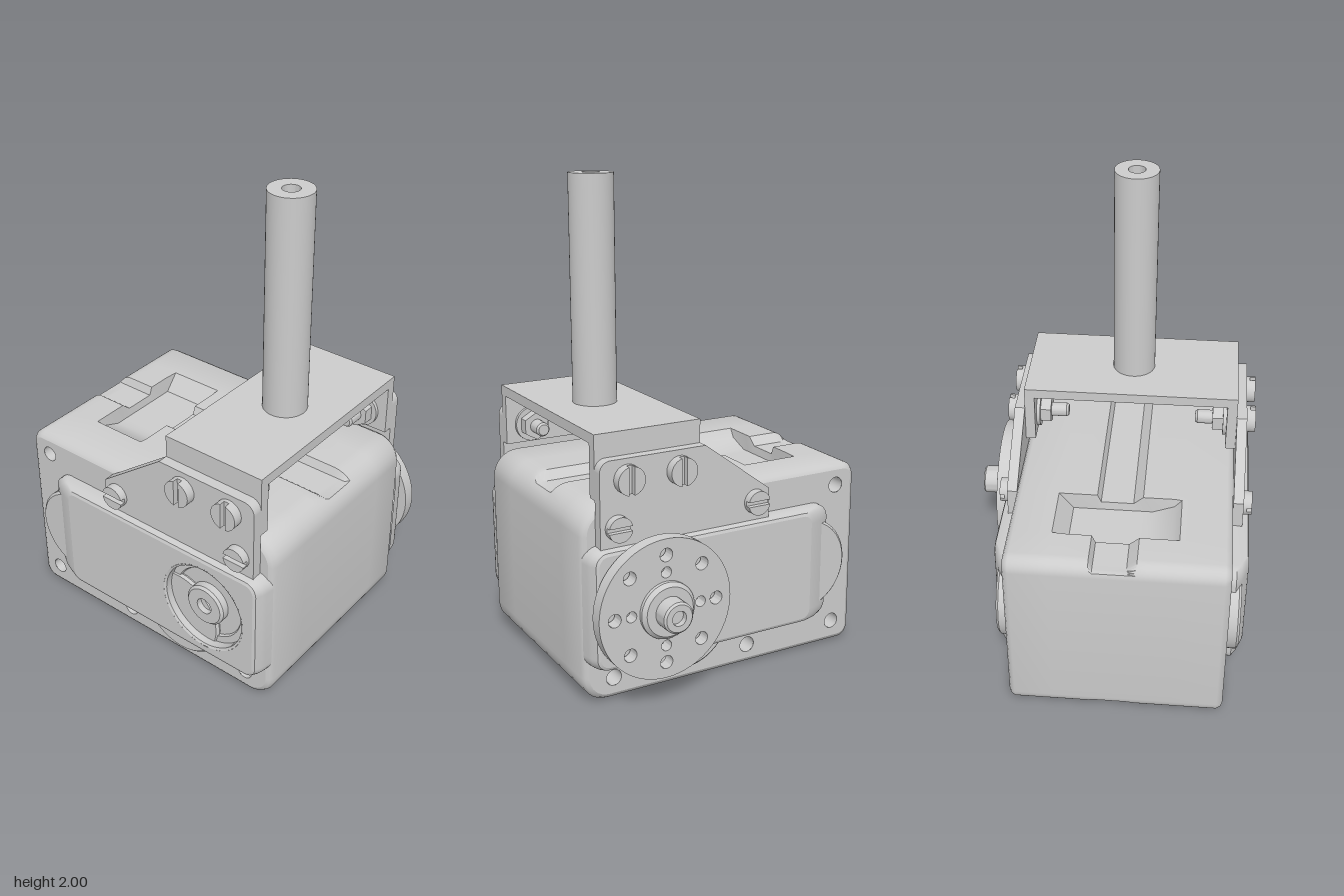
import * as THREE from 'three';
import { toCreasedNormals } from 'three/addons/utils/BufferGeometryUtils.js';

const mat = new THREE.MeshStandardMaterial({ color: 0xcccccc });
const twoSided = new THREE.MeshStandardMaterial({ color: 0xcccccc, side: THREE.DoubleSide });
const MID = 0.08; // the case is symmetric about this z
const FRONT = 0.53, BACK = 2 * MID - FRONT;

function add(parent, name, geo, x = 0, y = 0, z = 0, material = mat) {
  const m = new THREE.Mesh(geo, material);
  m.name = name;
  m.position.set(x, y, z);
  parent.add(m);
  return m;
}

// Counter-clockwise rounded rectangle; extra x stations on the long edges
function outline(x0, x1, y0, y1, rl, rr, stations = []) {
  const pts = [];
  const corner = (cx, cy, r, a0) => {
    for (let i = 0; i <= 8; i++) {
      const a = a0 + (i / 8) * Math.PI / 2;
      pts.push(new THREE.Vector2(cx + r * Math.cos(a), cy + r * Math.sin(a)));
    }
  };
  corner(x0 + rl, y0 + rl, rl, Math.PI);
  stations.forEach(x => pts.push(new THREE.Vector2(x, y0)));
  corner(x1 - rr, y0 + rr, rr, -Math.PI / 2);
  corner(x1 - rr, y1 - rr, rr, 0);
  [...stations].reverse().forEach(x => pts.push(new THREE.Vector2(x, y1)));
  corner(x0 + rl, y1 - rl, rl, Math.PI / 2);
  return pts;
}

// Skin between rings listed from high z to low z
function loft(rings) {
  const pos = [], idx = [], n = rings[0].pts.length;
  rings.forEach(r => r.pts.forEach(p => pos.push(p.x, p.y, r.z)));
  for (let i = 0; i < rings.length - 1; i++) for (let j = 0; j < n; j++) {
    const a = i * n + j, b = i * n + (j + 1) % n;
    idx.push(a, a + n, b, b, a + n, b + n);
  }
  const g = new THREE.BufferGeometry();
  g.setAttribute('position', new THREE.Float32BufferAttribute(pos, 3));
  g.setIndex(idx);
  return toCreasedNormals(g, 0.6);
}

function shapeWithHoles(pts, holes) {
  const s = new THREE.Shape(pts);
  holes.forEach(([x, y, r]) => s.holes.push(new THREE.Path().absarc(x, y, r, 0, Math.PI * 2, true)));
  return s;
}

const extrude = (shape, depth) =>
  new THREE.ExtrudeGeometry(shape, { depth, bevelEnabled: false, curveSegments: 24 });

// Solids of revolution about z, profile given as [radius, z]
const turned = (profile, seg = 40) => toCreasedNormals(
  new THREE.LatheGeometry(profile.map(p => new THREE.Vector2(...p)), seg).rotateX(Math.PI / 2), 0.5);
const rod = (r, z0, z1, seg = 32) =>
  new THREE.CylinderGeometry(r, r, z1 - z0, seg).rotateX(Math.PI / 2).translate(0, 0, (z0 + z1) / 2);

// Copy of a side's meshes reflected about the middle plane
function mirrored(group) {
  const out = new THREE.Group();
  group.updateMatrixWorld(true);
  group.traverse(o => {
    if (!o.isMesh) return;
    let g = o.geometry.clone().applyMatrix4(o.matrixWorld);
    if (g.index) g = g.toNonIndexed();
    g.scale(1, 1, -1).translate(0, 0, 2 * MID);
    for (const a of Object.values(g.attributes)) {
      const s = a.itemSize;
      for (let i = 0; i < a.count; i += 3) for (let k = 0; k < s; k++) {
        const p = (i + 1) * s + k, t = a.array[p];
        a.array[p] = a.array[p + s];
        a.array[p + s] = t;
      }
    }
    add(out, o.name, g, 0, 0, 0, o.material);
  });
  return out;
}

// Slotted screw head facing +z, base at z = 0
function screwHead(parent, x, y, z, r, h, angle) {
  const g = new THREE.Group();
  g.name = 'screwHead';
  add(g, 'headBase', rod(r, 0, h * 0.4));
  for (const start of [0, Math.PI]) {
    const half = new THREE.Shape().absarc(0, 0, r, start + 0.2, start + Math.PI - 0.2, false);
    add(g, 'headHalf', extrude(half, h * 0.6), 0, 0, h * 0.4);
  }
  g.position.set(x, y, z);
  g.rotation.z = angle;
  parent.add(g);
  return g;
}

const holes = [[-0.54, 0.71, 0.033], [-0.54, 0.095, 0.033], [-0.11, 0.085, 0.033], [0.505, 0.09, 0.033]];
const caseOutline = i => outline(-0.64 + i, 0.635 - i, i, 0.8 - i, 0.06 - i, 0.11 - i, [-0.455, -0.45, -0.21, -0.205]);

// Linear interpolation in a table of [z, depth], z descending
function table(t, z) {
  for (let i = 0; i < t.length - 1; i++) {
    const [a, u] = t[i], [b, v] = t[i + 1];
    if (z <= a && z >= b) return u + (v - u) * (a - z) / (a - b);
  }
  return 0;
}

// Case with a groove along x and a ramped pocket, top and bottom
function caseShell() {
  const groove = [[0.16, 0], [0.12, 0.035], [-0.015, 0.035], [-0.03, 0]];
  const pocket = [[0.32, 0], [0.29, 0.035], [0.2, 0.07], [-0.13, 0.07], [-0.19, 0]];
  const stations = [[FRONT, 0.025], [0.522, 0.01], [0.505, 0], [0.32, 0], [0.29, 0], [0.2, 0], [0.16, 0], [0.12, 0],
    [-0.015, 0], [-0.03, 0], [-0.13, 0], [-0.19, 0], [-0.345, 0], [-0.362, 0.01], [BACK, 0.025]];
  return loft(stations.map(([z, inset]) => ({
    z,
    pts: caseOutline(inset).map(p => {
      const inPocket = p.x > -0.451 && p.x < -0.209;
      const d = Math.max(table(groove, z), inPocket ? table(pocket, z) : 0);
      return new THREE.Vector2(p.x, THREE.MathUtils.clamp(p.y, d, 0.8 - d));
    }),
  })));
}

// End face, gear cover, bracket plate and fasteners of one side
function side(hasRecess) {
  const g = new THREE.Group();
  add(g, 'caseEndFace', new THREE.ShapeGeometry(shapeWithHoles(caseOutline(0.025), holes), 24), 0, 0, FRONT);
  add(g, 'endBulge', turned([[0.2, 0.5], [0.2, 0.57], [0.19, 0.58], [0, 0.58]]), -0.36, 0.4);
  add(g, 'lowerBulge', turned([[0.2, 0.5], [0.2, 0.56], [0.19, 0.57], [0, 0.57]]), 0.2, 0.27);

  // Gear cover, sloping at its outer end
  const rings = [[-0.37, 0.595, 0.022, 0.605], [-0.39, 0.607, 0.01, 0.6], [-0.45, 0.62, 0.003, 0.575],
    [-0.48, 0.625, 0, 0.555], [-0.48, 0.63, 0, 0.52]].map(([x0, x1, i, z]) =>
    ({ z, pts: outline(x0, x1, 0.155 + i, 0.65 - i, 0.06 - i, 0.06 - i) }));
  add(g, 'gearCover', loft(rings));
  add(g, 'gearCoverFace', new THREE.ShapeGeometry(
    shapeWithHoles(rings[0].pts, hasRecess ? [[0.35, 0.4, 0.2]] : []), 40), 0, 0, 0.605);
  if (hasRecess) add(g, 'bearingRecess', turned([[0.2, 0.605], [0.19, 0.6], [0.19, 0.565], [0.16, 0.565], [0.155, 0.555],
    [0.09, 0.555], [0.09, 0.585], [0.08, 0.595], [0.035, 0.595], [0.035, 0.56], [0, 0.56]]), 0.35, 0.4, 0, twoSided);

  // Side plate
  const plate = new THREE.Shape();
  plate.moveTo(-0.175, 0.64).lineTo(0.575, 0.64).lineTo(0.575, 0.945);
  plate.absarc(0.53, 0.945, 0.045, 0, Math.PI / 2, false);
  plate.lineTo(0.12, 0.99).lineTo(-0.175, 0.77);
  add(g, 'sidePlate', extrude(plate, 0.043), 0, 0, 0.532);
  add(g, 'bracketFlange', new THREE.BoxGeometry(0.455, 0.255, 0.042), 0.3475, 0.9575, 0.511);

  // Fasteners
  for (const x of [-0.11, 0.505]) screwHead(g, x, 0.725, 0.575, 0.05, 0.035, 0);
  for (const x of [0.235, 0.46]) {
    screwHead(g, x, 0.91, 0.575, 0.057, 0.04, Math.PI / 2);
    add(g, 'washer', rod(0.075, 0.475, 0.495), x, 0.91);
    add(g, 'nut', toCreasedNormals(rod(0.06, 0.43, 0.475, 6), 0.3), x, 0.91);
    add(g, 'boltShank', turned([[0, 0.355], [0.023, 0.355], [0.03, 0.365], [0.03, 0.5]].reverse(), 24), x, 0.91, 0, twoSided);
  }
  return g;
}

export function createModel() {
  const model = new THREE.Group();
  add(model, 'case', caseShell());
  for (const [x, y, r] of holes) {
    add(model, 'mountingHole', new THREE.CylinderGeometry(r, r, FRONT - BACK, 24, 1, true).rotateX(Math.PI / 2),
      x, y, MID, twoSided);
  }
  const front = side(true), back = mirrored(side(false));
  front.name = 'frontSide';
  back.name = 'backSide';
  model.add(front, back);

  // Output horn with two rings of holes
  const circle = (r, n = 64) => Array.from({ length: n }, (_, i) =>
    new THREE.Vector2(r * Math.cos(i / n * 2 * Math.PI), r * Math.sin(i / n * 2 * Math.PI)));
  const hornHoles = [];
  for (let i = 0; i < 8; i++) {
    const a = i * Math.PI / 4, c = Math.cos(a), s = Math.sin(a);
    hornHoles.push([0.22 * c, 0.22 * s, 0.027]);
    if (i % 2 === 0) hornHoles.push([0.15 * c, 0.15 * s, 0.022]);
  }
  add(model, 'horn', toCreasedNormals(extrude(shapeWithHoles(circle(0.285), hornHoles), 0.055), 0.5), 0.35, 0.4, -0.515);
  add(model, 'hornSpacer', rod(0.1, -0.47, -0.43), 0.35, 0.4);
  add(model, 'hornHub', turned([[0, -0.59], [0.03, -0.59], [0.03, -0.615], [0.055, -0.615], [0.063, -0.607],
    [0.063, -0.545], [0.1, -0.545], [0.115, -0.53], [0.115, -0.51]]), 0.35, 0.4, 0, twoSided);

  // Bracket top and hollow post
  add(model, 'bracketTop', new THREE.BoxGeometry(0.455, 0.042, 0.904), 0.3475, 1.064, MID);
  const post = [[0.035, 1.7], [0.035, 2], [0.09, 2], [0.09, 1.08]].reverse().map(p => new THREE.Vector2(...p));
  add(model, 'post', toCreasedNormals(new THREE.LatheGeometry([...post, new THREE.Vector2(0, 1.7)], 40), 0.5),
    0.35, 0, MID, twoSided);
  const under = screwHead(model, 0.35, 1.045, MID, 0.055, 0.035, 0);
  under.rotation.set(Math.PI / 2, 0, Math.PI / 2);
  return model;
}
